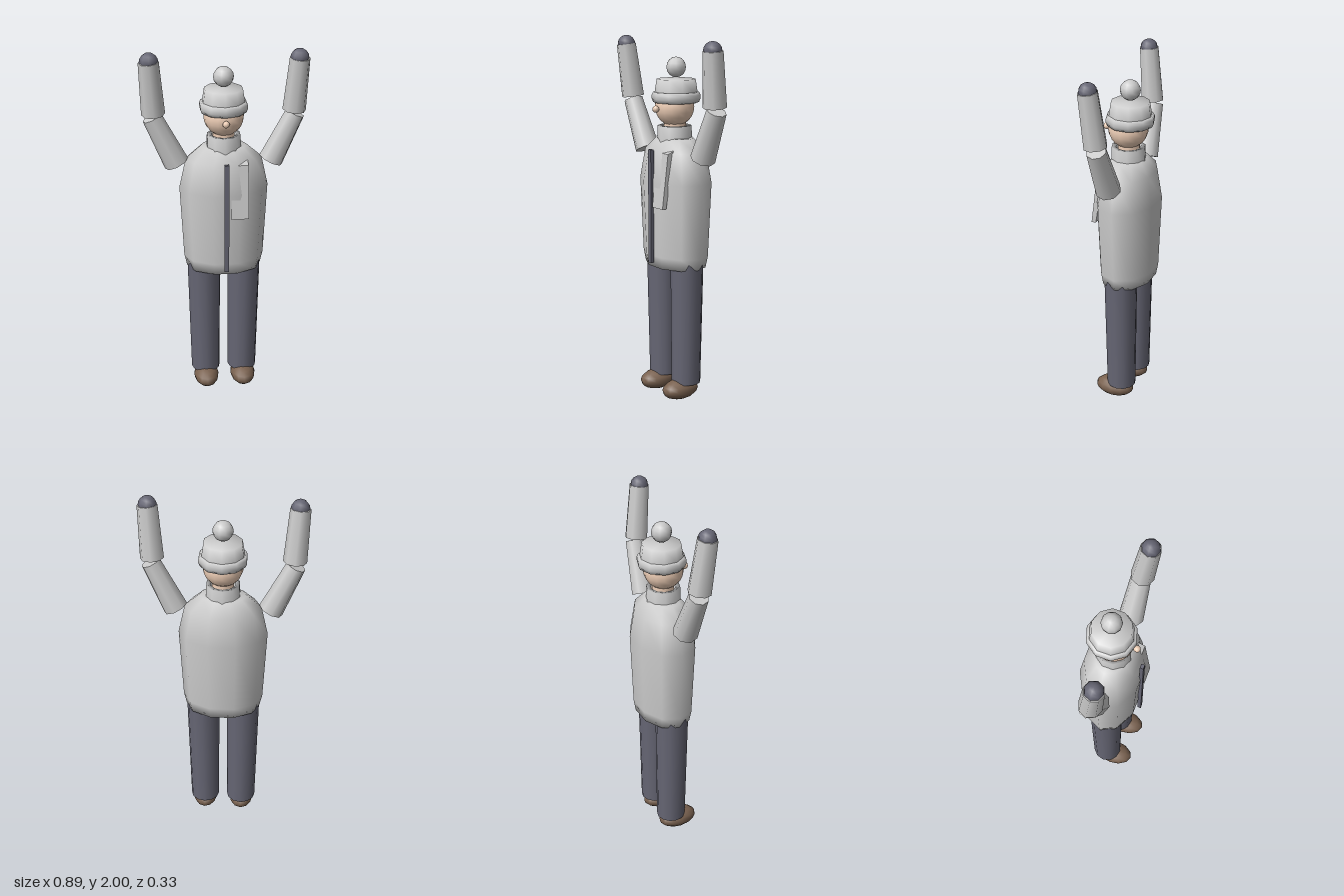
import * as THREE from 'three';

const paint = (color) => new THREE.MeshStandardMaterial({ color });
const GREY = paint(0xcccccc);
const TROUSER = paint(0x666674);
const SKIN = paint(0xf0d0b8);
const LEATHER = paint(0x7a6250);

function add(parent, name, geometry, material, x = 0, y = 0, z = 0) {
  const mesh = new THREE.Mesh(geometry, material);
  mesh.name = name;
  mesh.position.set(x, y, z);
  parent.add(mesh);
  return mesh;
}

// Turned solid from [radius, height] pairs, bottom to top
function turned(profile, sides, phi = 0) {
  return new THREE.LatheGeometry(profile.map(([r, y]) => new THREE.Vector2(r, y)), sides, phi);
}

// Tapered capped limb running between two points
function limb(parent, name, from, to, r0, r1, sides, material) {
  const a = new THREE.Vector3(...from), b = new THREE.Vector3(...to);
  const dir = b.clone().sub(a);
  const mesh = add(parent, name, new THREE.CylinderGeometry(r1, r0, dir.length(), sides), material);
  mesh.position.copy(a).add(b).multiplyScalar(0.5);
  mesh.quaternion.setFromUnitVectors(new THREE.Vector3(0, 1, 0), dir.normalize());
  return mesh;
}

export function createModel() {
  const model = new THREE.Group();
  model.name = 'figure';

  // Jacket body: flattened ten-sided barrel
  const body = turned([
    [0, 0.755], [0.205, 0.755], [0.22, 0.82], [0.241, 1.23],
    [0.205, 1.395], [0.125, 1.465], [0, 1.468],
  ], 10, Math.PI / 2);
  body.scale(1, 1, 0.7);
  add(model, 'jacket', body, GREY, 0, 0, -0.008);

  // Collar, with a wall thickness, and neck
  add(model, 'collar', turned([
    [0.096, 1.41], [0.092, 1.53], [0.068, 1.53], [0.068, 1.43],
  ], 10), GREY, 0, 0, -0.003);
  add(model, 'neck', new THREE.CylinderGeometry(0.06, 0.06, 0.14, 10), SKIN, 0, 1.5, -0.005);

  // Zip down the front
  add(model, 'zip', new THREE.BoxGeometry(0.025, 0.625, 0.02), TROUSER, 0, 1.098, 0.155);

  // Chest flap: sloped slab, thicker at the top, partly sunk into the jacket
  const flap = new THREE.BoxGeometry(0.094, 0.31, 1);
  const p = flap.attributes.position;
  for (let i = 0; i < p.count; i++) {
    const front = p.getZ(i) > 0;
    if (p.getY(i) > 0) {
      p.setZ(i, front ? 0.128 : 0.09);
      if (front) p.setY(i, 0.14);
    } else {
      p.setZ(i, front ? 0.165 : 0.14);
    }
  }
  flap.computeVertexNormals();
  add(model, 'chestFlap', flap, GREY, 0.072, 1.255, 0);

  // Head and nose
  add(model, 'head', new THREE.SphereGeometry(0.108, 16, 12), SKIN, 0, 1.633, -0.002);
  add(model, 'nose', new THREE.SphereGeometry(0.019, 8, 6), SKIN, 0, 1.625, 0.122);

  // Knitted hat: crown, rolled brim and bobble
  const hat = new THREE.Group();
  hat.name = 'hat';
  hat.position.z = -0.013;
  model.add(hat);
  add(hat, 'hatCrown', turned([[0.118, 1.67], [0.116, 1.71], [0.105, 1.78], [0, 1.782]], 10), GREY);
  add(hat, 'hatBrim', turned([
    [0, 1.662], [0.124, 1.655], [0.132, 1.675], [0.132, 1.695], [0.124, 1.71], [0.1, 1.712],
  ], 10), GREY);
  add(hat, 'hatBobble', new THREE.SphereGeometry(0.055, 10, 8), GREY, 0, 1.843, 0);

  for (const s of [1, -1]) {
    const side = s > 0 ? 'left' : 'right';

    // Raised arm with a rounded mitten
    limb(model, side + 'UpperArm', [s * 0.255, 1.375, 0], [s * 0.38, 1.64, 0.008], 0.068, 0.053, 8, GREY);
    limb(model, side + 'Forearm', [s * 0.373, 1.66, 0.015], [s * 0.392, 1.95, 0.045], 0.063, 0.054, 8, GREY);
    add(model, side + 'Mitten', new THREE.SphereGeometry(0.05, 8, 8), TROUSER, s * 0.39, 1.95, 0.045);

    // Leg and shoe
    limb(model, side + 'Leg', [s * 0.105, 0.095, -0.005], [s * 0.112, 0.79, -0.005], 0.081, 0.091, 12, TROUSER);
    const shoe = new THREE.SphereGeometry(1, 12, 8);
    shoe.scale(0.071, 0.057, 0.113);
    add(model, side + 'Shoe', shoe, LEATHER, s * 0.106, 0.06, 0.036);
  }

  return model;
}
